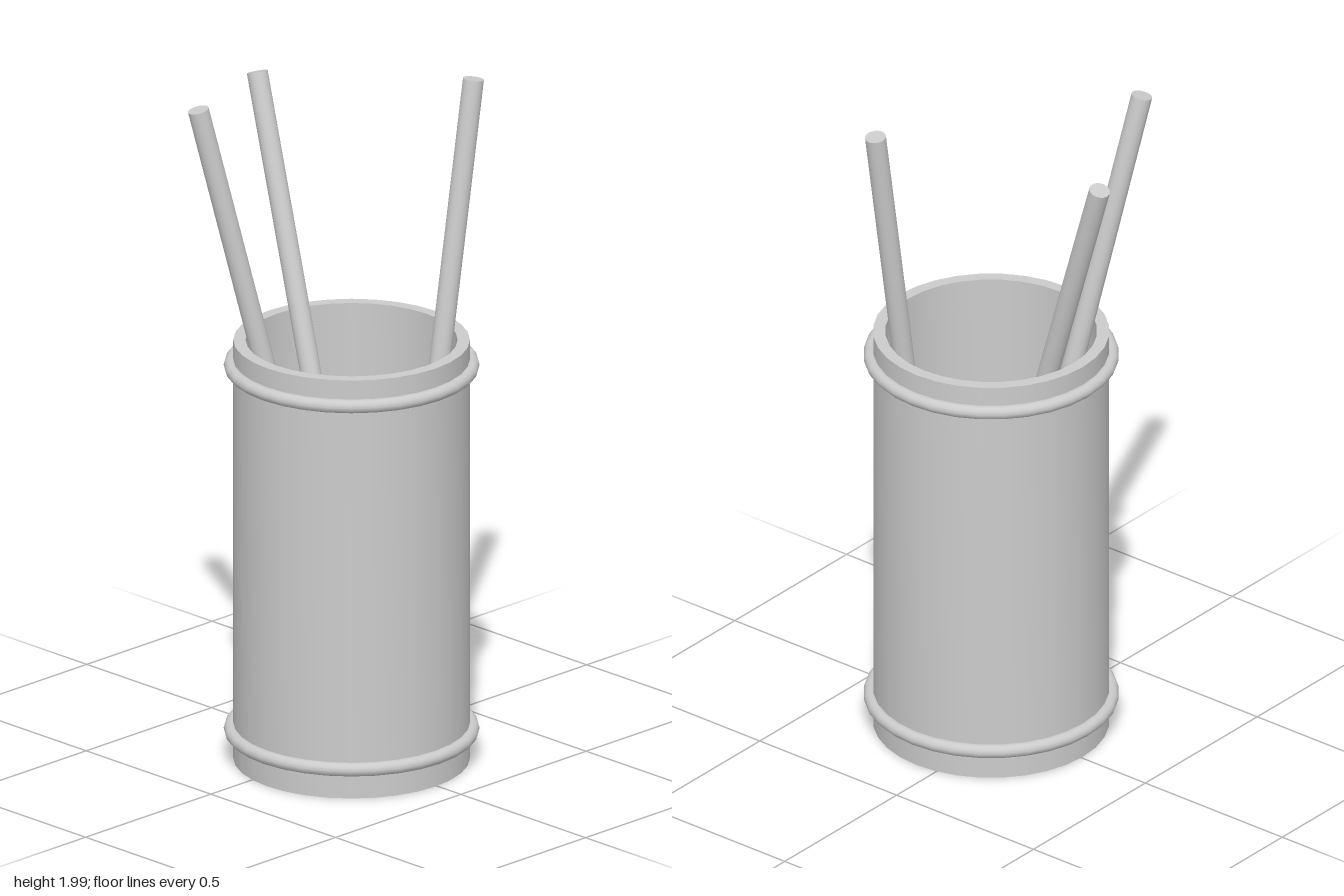
import * as THREE from 'three';
import { toCreasedNormals } from 'three/addons/utils/BufferGeometryUtils.js';

const SIDES = 32;

export function createModel() {
  const model = new THREE.Group();
  model.name = 'pencilCup';
  const material = new THREE.MeshStandardMaterial({ color: 0xcccccc });

  const add = (parent, name, geometry) => {
    const mesh = new THREE.Mesh(geometry, material);
    mesh.name = name;
    parent.add(mesh);
    return mesh;
  };

  // Hollow cup with a floor, a straight wall and a flat rim
  const cup = new THREE.Group();
  cup.name = 'cup';
  cup.position.set(-0.007, 0, 0.069);
  model.add(cup);
  const profile = [
    [0, 0], [0.335, 0], [0.335, 1.26], [0.3, 1.26], [0.3, 0.03], [0, 0.03],
  ].map(([r, y]) => new THREE.Vector2(r, y));
  add(cup, 'cupBody', toCreasedNormals(new THREE.LatheGeometry(profile, SIDES), 0.6));

  // Rounded bands around the bottom and the top
  for (const [name, y] of [['lowerBand', 0.09], ['upperBand', 1.185]]) {
    const band = add(cup, name, new THREE.TorusGeometry(0.342, 0.02, 12, SIDES));
    band.rotation.x = Math.PI / 2;
    band.position.y = y;
  }

  // Leaning sticks, each from a foot on the cup floor to a tip
  const sticks = [
    ['leftStick', [0.025, 0.035, 0.204], [0.345, 1.99, 0.204]],
    ['middleStick', [-0.04, 0.035, 0.215], [0.088, 1.92, -0.405]],
    ['rightStick', [0.043, 0.035, 0.062], [-0.348, 1.97, -0.203]],
  ];
  const up = new THREE.Vector3(0, 1, 0);
  for (const [name, from, to] of sticks) {
    const foot = new THREE.Vector3(...from);
    const tip = new THREE.Vector3(...to);
    const axis = tip.clone().sub(foot);
    const stick = add(model, name, new THREE.CylinderGeometry(0.03, 0.03, axis.length(), 20));
    stick.position.copy(foot).lerp(tip, 0.5);
    stick.quaternion.setFromUnitVectors(up, axis.normalize());
  }

  return model;
}
